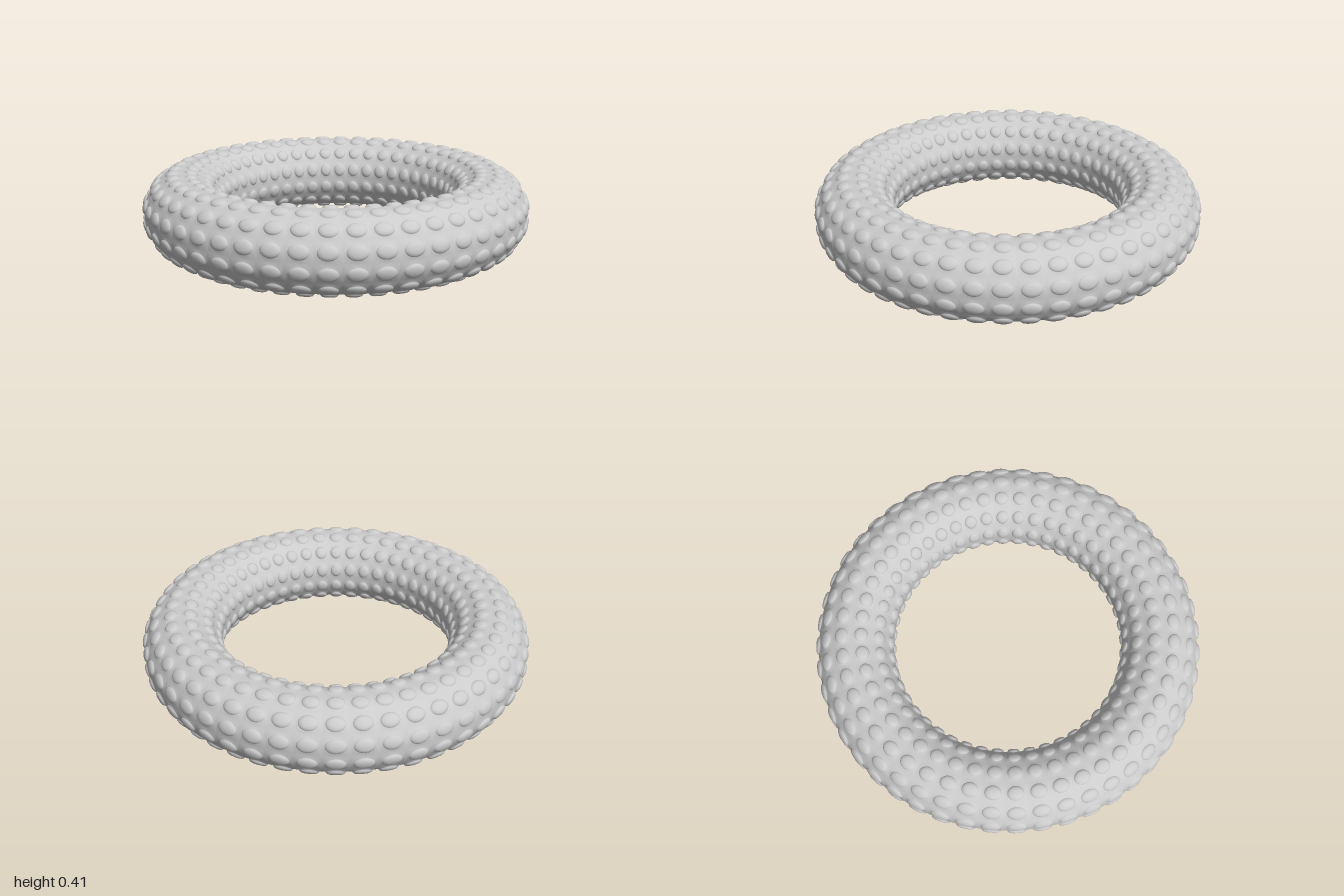
import * as THREE from 'three';
import { mergeVertices } from 'three/addons/utils/BufferGeometryUtils.js';

const RING = 0.796;      // radius of the ring's centre line
const TUBE = 0.194;      // radius of the tube between the studs
const STUD = 0.015;      // height of a stud
const AROUND = 48;       // studs around the ring
const ROWS = 12;         // studs around the tube
const SIDES = 24;        // corners of each stud outline (multiple of 8)

// Point on the ring: u runs round the ring, v round the tube, h is height above the tube
function ringPoint(u, v, h) {
  const r = TUBE + h;
  const d = RING + r * Math.cos(v);
  return [d * Math.sin(u), 0.205 + r * Math.sin(v), d * Math.cos(u)];
}

// Stud profile from crown to rim: [fraction of stud radius, fraction of stud height]
const PROFILE = [[0.5, 0.93], [0.8, 0.7], [0.97, 0.3], [1, 0]];

function studdedRing() {
  const positions = [], index = [];
  const halfU = Math.PI / AROUND, halfV = Math.PI / ROWS;
  const add = (u, v, h) => positions.push(...ringPoint(u, v, h));

  // One patch: domed stud in the middle, blended out to a rectangular cell
  function patch(u0, v0) {
    const base = positions.length / 3;
    add(u0, v0, STUD);
    for (let k = 0; k <= PROFILE.length; k++) {
      for (let j = 0; j < SIDES; j++) {
        const a = (j / SIDES) * Math.PI * 2;
        const c = Math.cos(a), s = Math.sin(a);
        if (k < PROFILE.length) {
          const [t, h] = PROFILE[k];
          add(u0 + c * t * halfU * 0.77, v0 + s * t * halfV * 0.7, h * STUD);
        } else {
          const m = Math.max(Math.abs(c), Math.abs(s));
          add(u0 + (c / m) * halfU, v0 + (s / m) * halfV, 0);
        }
      }
    }
    for (let j = 0; j < SIDES; j++) {
      const n = (j + 1) % SIDES;
      index.push(base, base + 1 + j, base + 1 + n);
      for (let k = 0; k < PROFILE.length; k++) {
        const inner = base + 1 + k * SIDES, outer = inner + SIDES;
        index.push(inner + j, outer + j, outer + n, inner + j, outer + n, inner + n);
      }
    }
  }

  for (let i = 0; i < AROUND; i++)
    for (let j = 0; j < ROWS; j++)
      patch((2 * i + 1) * halfU, (2 * j + 1) * halfV);

  const geometry = new THREE.BufferGeometry();
  geometry.setAttribute('position', new THREE.Float32BufferAttribute(positions, 3));
  geometry.setIndex(index);
  const welded = mergeVertices(geometry, 1e-4);
  welded.computeVertexNormals();
  return welded;
}

export function createModel() {
  const group = new THREE.Group();
  group.name = 'studdedRing';
  const ring = new THREE.Mesh(studdedRing(), new THREE.MeshStandardMaterial({ color: 0xcccccc }));
  ring.name = 'ringWithStuds';
  group.add(ring);
  return group;
}
